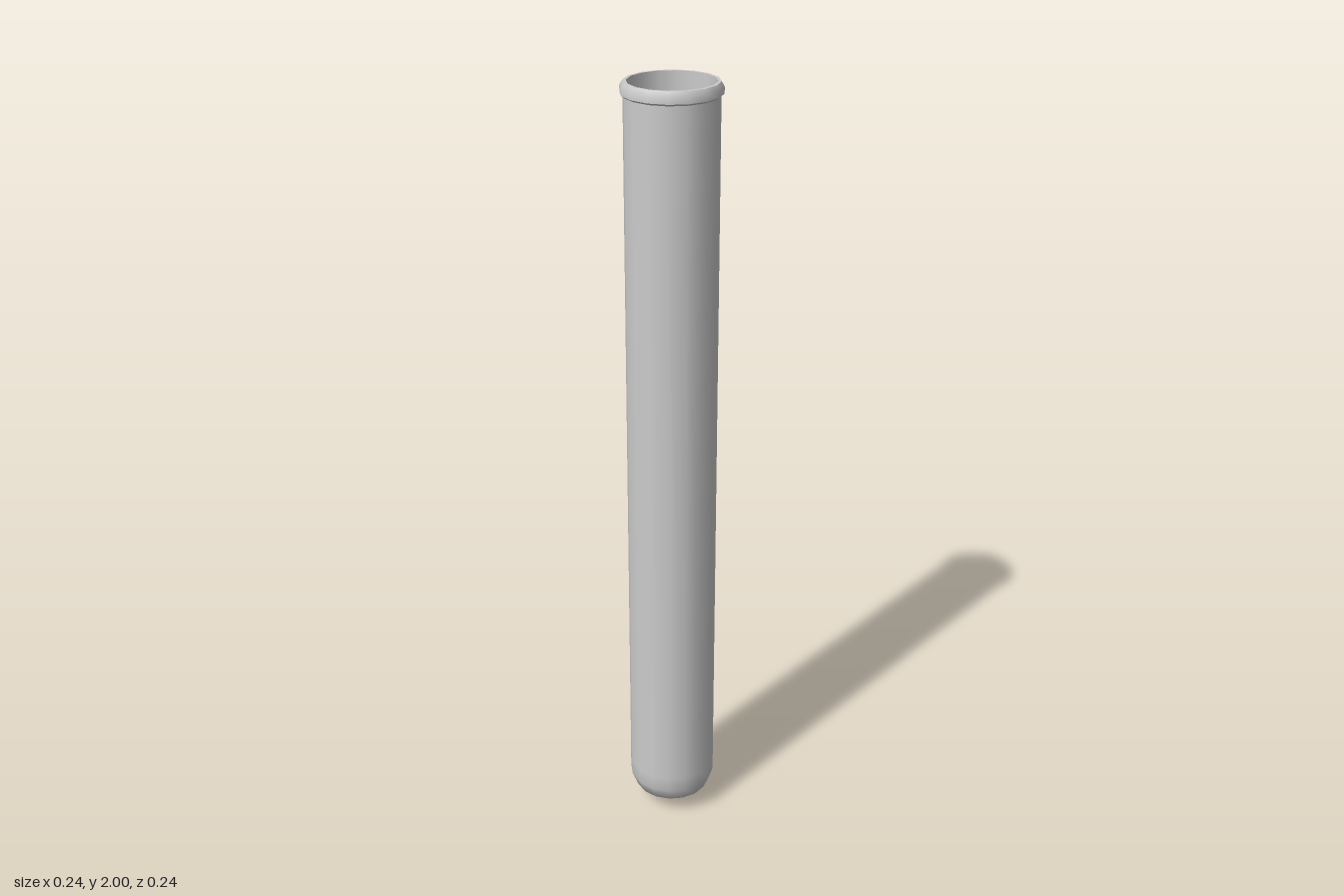
import * as THREE from 'three';

const SIDES = 16;

export function createModel() {
  const model = new THREE.Group();
  model.name = 'testTube';
  const material = new THREE.MeshStandardMaterial({ color: 0xcccccc });

  // Revolve a [radius, height] profile; smooth within a part, sharp between parts
  const turn = (name, profile) => {
    const points = profile.map(([r, y]) => new THREE.Vector2(r, y));
    const mesh = new THREE.Mesh(new THREE.LatheGeometry(points, SIDES), material);
    mesh.name = name;
    model.add(mesh);
  };

  // Outer glass: blunt rounded bottom and straight wall
  turn('outerWall', [[0, 0], [0.054, 0.022], [0.098, 0.052], [0.114, 0.09], [0.114, 0.13], [0.114, 1.967]]);

  // Flared lip
  turn('lipUnderside', [[0.114, 1.967], [0.121, 1.972]]);
  turn('lipSide', [[0.121, 1.972], [0.121, 1.988], [0.114, 2]]);
  turn('lipTop', [[0.114, 2], [0.106, 2]]);

  // Hollow inside
  turn('innerWall', [[0.106, 2], [0.106, 0.09]]);
  turn('innerFloor', [[0.106, 0.09], [0, 0.09]]);

  return model;
}
